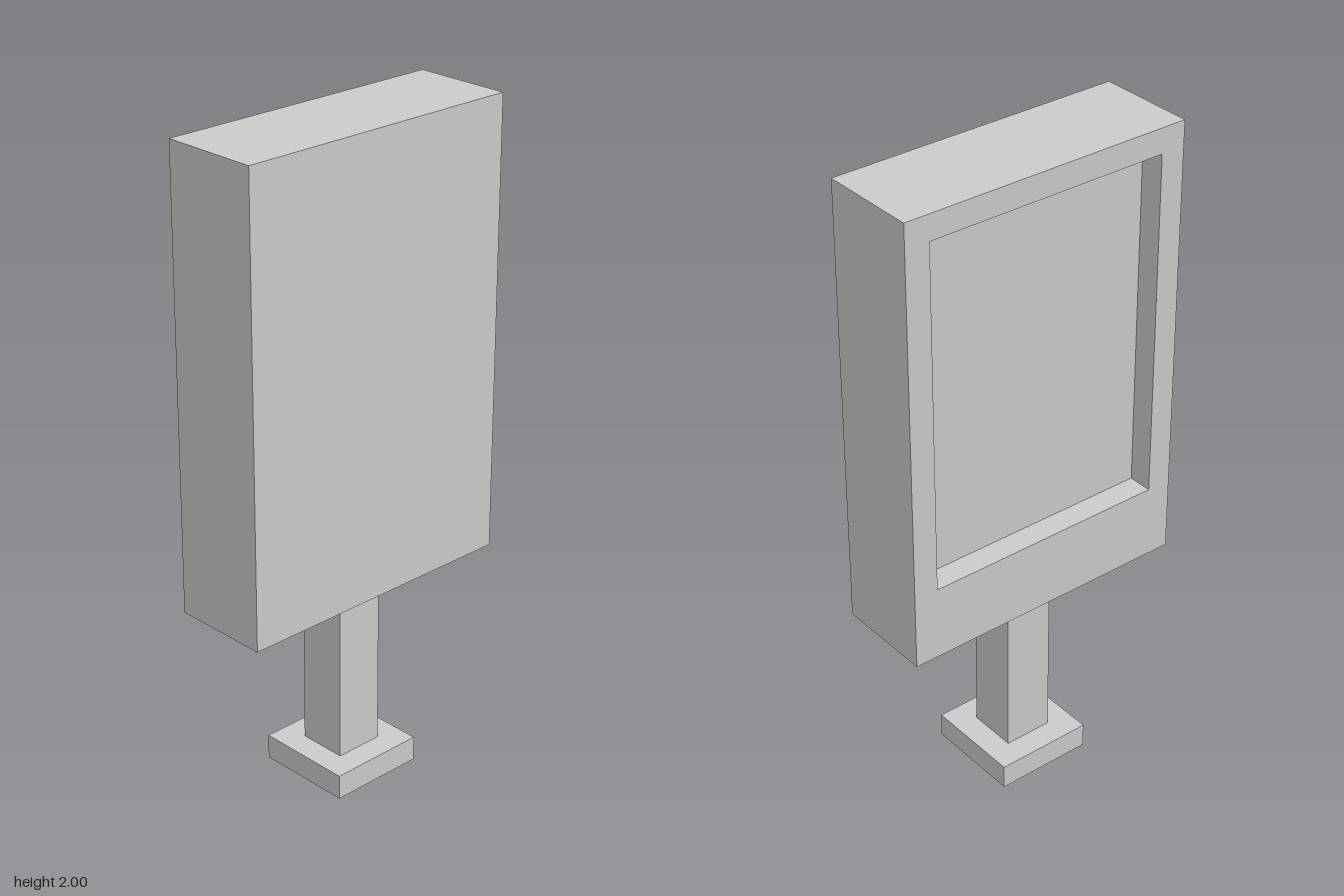
import * as THREE from 'three';

// The sign sits on a regular module: 26 units tall, scaled to a height of 2.
const U = 2 / 26;
const material = new THREE.MeshStandardMaterial({ color: 0xcccccc, flatShading: true });

// Box given by its size and the height of its underside, in module units.
function block(name, w, h, d, bottom, x = 0) {
  const mesh = new THREE.Mesh(new THREE.BoxGeometry(w * U, h * U, d * U), material);
  mesh.position.set(x * U, (bottom + h / 2) * U, 0);
  mesh.name = name;
  return mesh;
}

// Counter-clockwise rectangle in the (z, y) plane.
function rect(PathType, z0, y0, z1, y1) {
  const points = [[z0, y0], [z1, y0], [z1, y1], [z0, y1]];
  const path = new PathType(points.map(([z, y]) => new THREE.Vector2(z * U, y * U)));
  path.closePath();
  return path;
}

export function createModel() {
  const group = new THREE.Group();
  group.name = 'postMountedDisplay';

  // Foot and post
  group.add(block('basePlate', 4, 1, 4, 0));
  group.add(block('post', 2, 7, 2, 1));

  // Solid body of the cabinet; its -x face is the recessed panel
  group.add(block('cabinetBody', 3, 18, 12, 8, 0.5));

  // Frame around the recess, with a deeper lower rail
  const outline = rect(THREE.Shape, -6, 8, 6, 26);
  outline.holes.push(rect(THREE.Path, -5, 11, 5, 25));
  const frameGeometry = new THREE.ExtrudeGeometry(outline, { depth: U, bevelEnabled: false });
  frameGeometry.rotateY(-Math.PI / 2);
  const frame = new THREE.Mesh(frameGeometry, material);
  frame.position.x = -U;
  frame.name = 'displayFrame';
  group.add(frame);

  return group;
}
